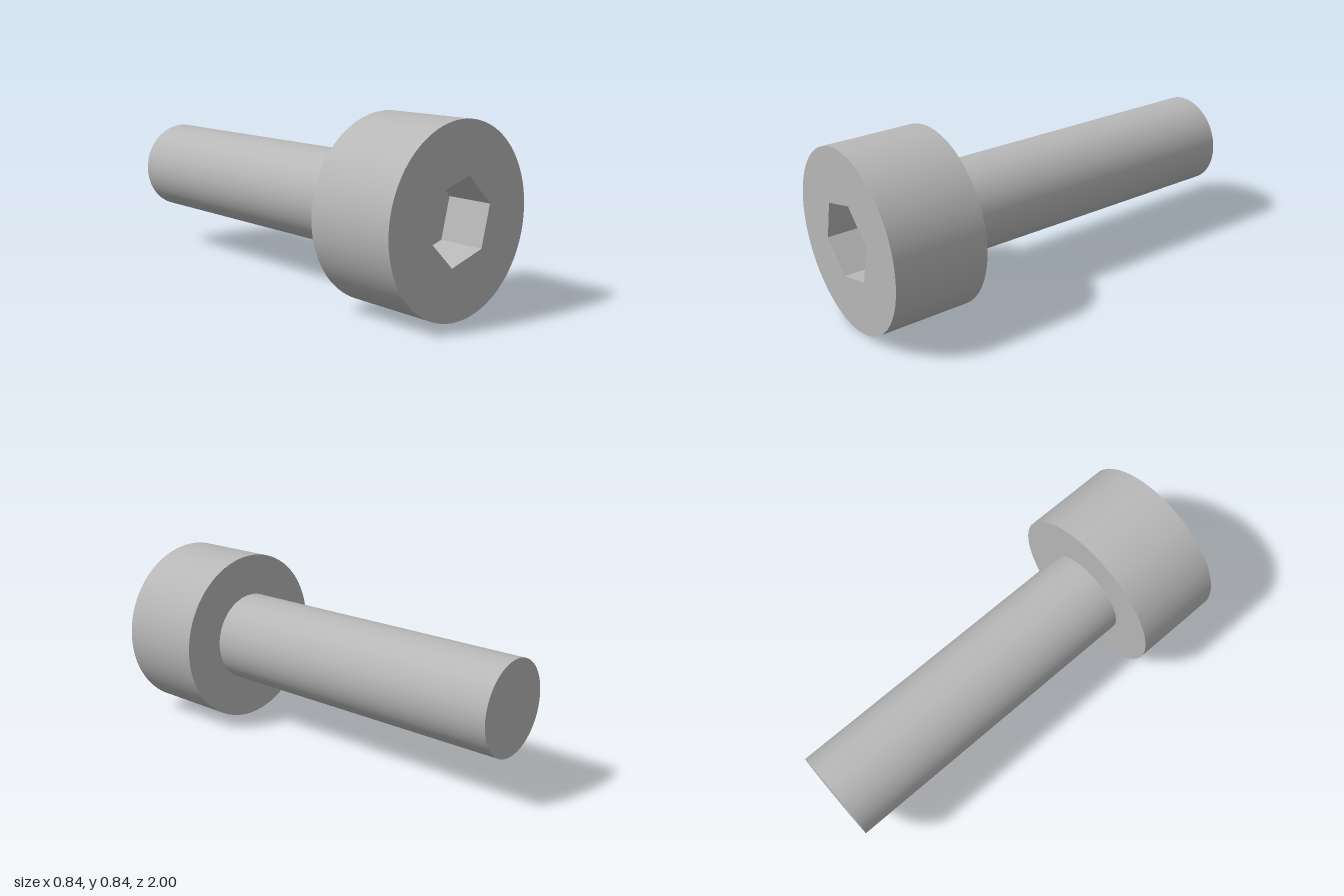
import * as THREE from 'three';

const HEAD_R = 0.422, SHAFT_R = 0.22, HEX_R = 0.193;
const FRONT = 1, SHOULDER = 0.56, TIP = -1, SOCKET_DEPTH = 0.22;
const HEX_TURN = THREE.MathUtils.degToRad(16);
const SIDES = 96;

// Open tube along z between two depths
function tube(radius, z0, z1, sides) {
  return new THREE.CylinderGeometry(radius, radius, z1 - z0, sides, 1, true)
    .rotateX(Math.PI / 2)
    .translate(0, 0, (z0 + z1) / 2);
}

export function createModel() {
  const steel = new THREE.MeshStandardMaterial({ color: 0xb8b8b8 });
  steel.name = 'steel grey';

  const model = new THREE.Group();
  model.name = 'socketHeadBolt';
  const bolt = new THREE.Group();
  bolt.name = 'bolt';
  bolt.position.y = HEAD_R;
  model.add(bolt);

  const add = (name, geometry) => {
    const mesh = new THREE.Mesh(geometry, steel);
    mesh.name = name;
    bolt.add(mesh);
  };

  // Shaft with its flat tip
  add('shaft', tube(SHAFT_R, TIP, SHOULDER, SIDES));
  add('shaftTip', new THREE.CircleGeometry(SHAFT_R, SIDES).rotateY(Math.PI).translate(0, 0, TIP));

  // Head wall and the shoulder under it
  add('headWall', tube(HEAD_R, SHOULDER, FRONT, SIDES));
  add('headShoulder', new THREE.RingGeometry(SHAFT_R, HEAD_R, SIDES).rotateY(Math.PI).translate(0, 0, SHOULDER));

  // Front face with a hexagonal opening
  const hex = Array.from({ length: 6 }, (_, i) => {
    const a = HEX_TURN + i * Math.PI / 3;
    return new THREE.Vector2(Math.cos(a) * HEX_R, Math.sin(a) * HEX_R);
  });
  const face = new THREE.Shape().absarc(0, 0, HEAD_R, 0, Math.PI * 2);
  face.holes.push(new THREE.Path(hex).closePath());
  add('headFace', new THREE.ShapeGeometry(face, SIDES));

  // The face shape lies at z = 0, so bring it to the front
  bolt.getObjectByName('headFace').position.z = FRONT;

  // Socket walls face inwards: reverse the triangles and use flat normals
  const walls = tube(HEX_R, FRONT - SOCKET_DEPTH, FRONT, 6).rotateZ(HEX_TURN + Math.PI / 2);
  walls.index.array.reverse();
  const flatWalls = walls.toNonIndexed();
  flatWalls.computeVertexNormals();
  add('socketWalls', flatWalls);
  add('socketFloor', new THREE.ShapeGeometry(new THREE.Shape(hex)).translate(0, 0, FRONT - SOCKET_DEPTH));

  return model;
}
